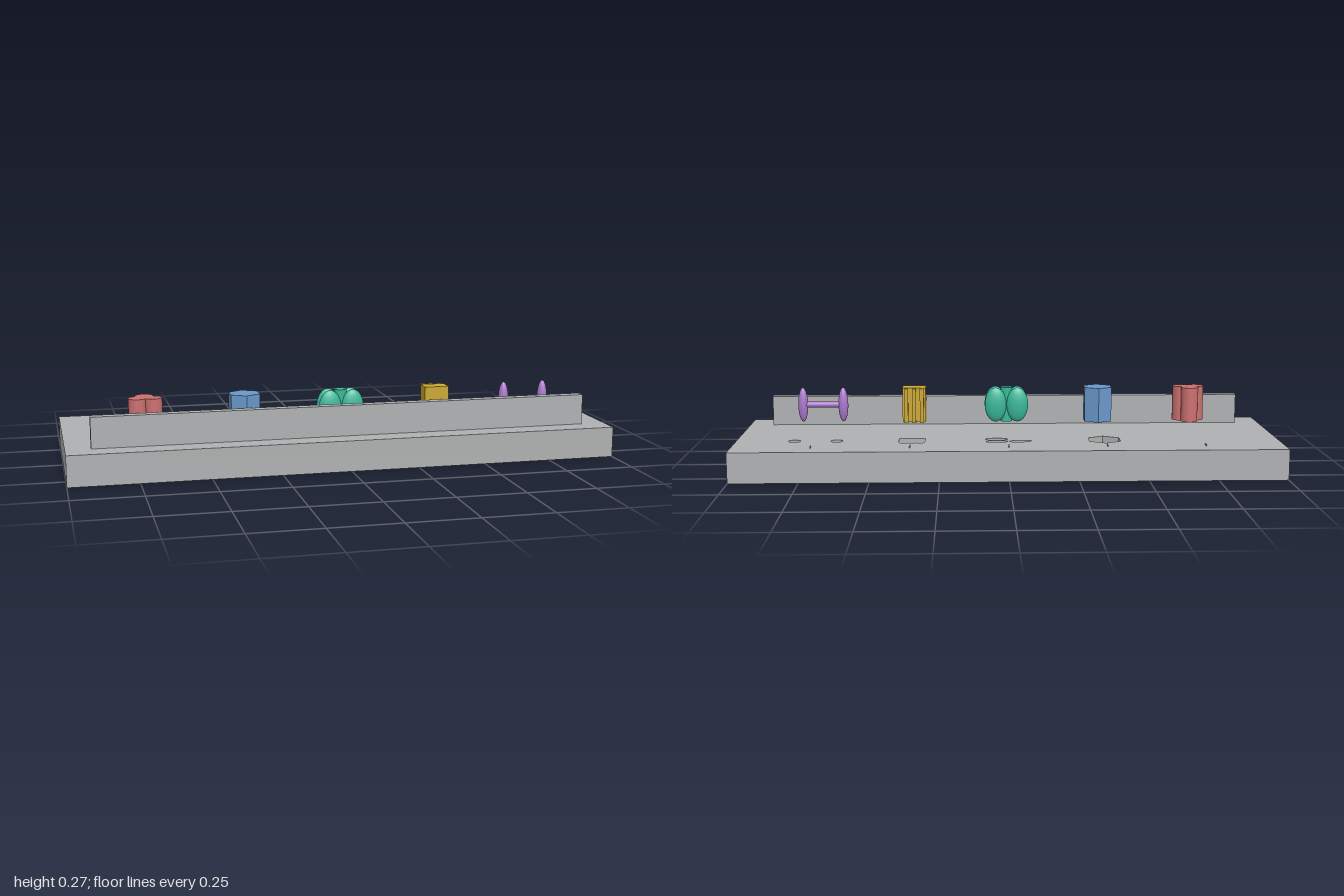
import * as THREE from 'three';

const mat = (name, color) => Object.assign(new THREE.MeshStandardMaterial({ color }), { name });

export function createModel() {
  const grey = mat('grey', 0xaeb0b1);
  const red = mat('red', 0xcc7070);
  const blue = mat('blue', 0x6a99cc);
  const teal = mat('teal', 0x38b898);
  const yellow = mat('yellow', 0xcca833);
  const purple = mat('purple', 0xaa78cc);

  const model = new THREE.Group();
  model.name = 'shapeSorterBoard';

  const BASE = 0.112, LOW = 0.135, HIGH = 0.268;
  const H = HIGH - LOW, MID = (HIGH + LOW) / 2;

  const group = (name) => {
    const g = new THREE.Group();
    g.name = name;
    model.add(g);
    return g;
  };
  const add = (parent, name, geo, material, x, y, z) => {
    const m = new THREE.Mesh(geo, material);
    m.name = name;
    m.position.set(x, y, z);
    parent.add(m);
    return m;
  };
  const ellipsoid = (rx, ry, rz) => new THREE.SphereGeometry(1, 32, 20).scale(rx, ry, rz);

  // Hole outlines, drawn in x and -z
  const ellipse = (x, z, rx, rz, turn = 0) =>
    new THREE.Shape().absellipse(x, -z, rx, rz, 0, Math.PI * 2, false, turn);
  const hexagon = (x, z, r) => new THREE.Shape(Array.from({ length: 6 }, (_, i) => {
    const a = i * Math.PI / 3;
    return new THREE.Vector2(x + r * Math.sin(a), -z + r * Math.cos(a));
  }));
  const scalloped = () => {
    const s = new THREE.Shape();
    s.moveTo(0.306, 0.083);
    s.lineTo(0.402, 0.083);
    s.lineTo(0.402, 0.152);
    for (const x of [0.385, 0.355, 0.325]) {
      s.lineTo(x + 0.0145, 0.161);
      s.absarc(x, 0.161, 0.0145, 0, Math.PI, false);
    }
    s.lineTo(0.306, 0.152);
    s.closePath();
    return s;
  };
  const slab = (shape, depth) => new THREE.ExtrudeGeometry(shape,
    { depth, bevelEnabled: false, curveSegments: 20 }).rotateX(-Math.PI / 2);

  // Base board with through holes and shallow pockets
  const throughHoles = [
    hexagon(-0.357, -0.125, 0.066),
    ellipse(-0.045, -0.147, 0.041, 0.015, 0.1),
    scalloped(),
    ellipse(0.63, -0.125, 0.022, 0.022),
    ellipse(0.785, -0.125, 0.022, 0.022),
  ];
  const petals = [ellipse(0.042, -0.149, 0.041, 0.017), ellipse(0.042, -0.106, 0.041, 0.019)];
  const underside = ellipse(-0.745, -0.092, 0.031, 0.014);
  const board = new THREE.Shape([[-1, -0.333], [1, -0.333], [1, 0.333], [-1, 0.333]]
    .map(([x, y]) => new THREE.Vector2(x, y)));
  board.holes.push(...throughHoles, ...petals, underside);
  const base = group('base');
  add(base, 'board', slab(board, BASE), grey, 0, 0, 0);
  petals.forEach((p) => add(base, 'petalPocketFloor', slab(p, 0.05), grey, 0, 0, 0));
  add(base, 'undersidePocketRoof', slab(underside, 0.06), grey, 0, BASE - 0.06, 0);

  // Front wall
  add(model, 'frontWall', new THREE.BoxGeometry(1.82, 0.112, 0.034), grey, 0, BASE + 0.056, 0.233);

  // Tiny marker ridges behind the holes
  const markers = group('markers');
  for (let i = -2; i <= 2; i++) {
    add(markers, 'marker', new THREE.BoxGeometry(0.003, 0.006, 0.028), grey,
      i * 0.357, BASE + 0.003, -0.247);
  }

  // Three-lobed block
  const trefoil = group('trefoilBlock');
  for (const [x, z] of [[-0.712, 0.126], [-0.74, 0.168], [-0.684, 0.168]]) {
    add(trefoil, 'lobe', new THREE.CylinderGeometry(0.032, 0.032, H, 32), red, x, MID, z);
  }
  add(trefoil, 'core', new THREE.CylinderGeometry(0.022, 0.022, H - 0.002, 24), red, -0.712, MID, 0.154);

  // Hexagonal block
  add(model, 'hexBlock', new THREE.CylinderGeometry(0.06, 0.06, H, 6).toNonIndexed(), blue,
    -0.357, MID, 0.157).geometry.computeVertexNormals();

  // Four-petalled block
  const flower = group('petalBlock');
  for (const sx of [-1, 1]) for (const sz of [-1, 1]) {
    add(flower, 'petal', ellipsoid(0.042, H / 2, 0.02), teal, sx * 0.042 - 0.002, MID, 0.155 + sz * 0.019);
  }
  add(flower, 'core', new THREE.CylinderGeometry(0.023, 0.023, H, 32), teal, -0.002, MID, 0.155);

  // Block with three posts
  const posts = group('postBlock');
  add(posts, 'body', new THREE.BoxGeometry(0.09, H, 0.059), yellow, 0.355, MID, 0.1675);
  for (const x of [0.325, 0.355, 0.385]) {
    add(posts, 'post', new THREE.BoxGeometry(0.015, H, 0.015), yellow, x, MID, 0.1205);
  }

  // Dumbbell block
  const dumbbell = group('dumbbellBlock');
  for (const x of [0.63, 0.785]) {
    add(dumbbell, 'end', ellipsoid(0.019, H / 2, 0.019), purple, x, MID, 0.156);
  }
  add(dumbbell, 'bar', new THREE.CylinderGeometry(0.012, 0.012, 0.155, 24).rotateZ(Math.PI / 2),
    purple, 0.7075, MID, 0.156);

  return model;
}
